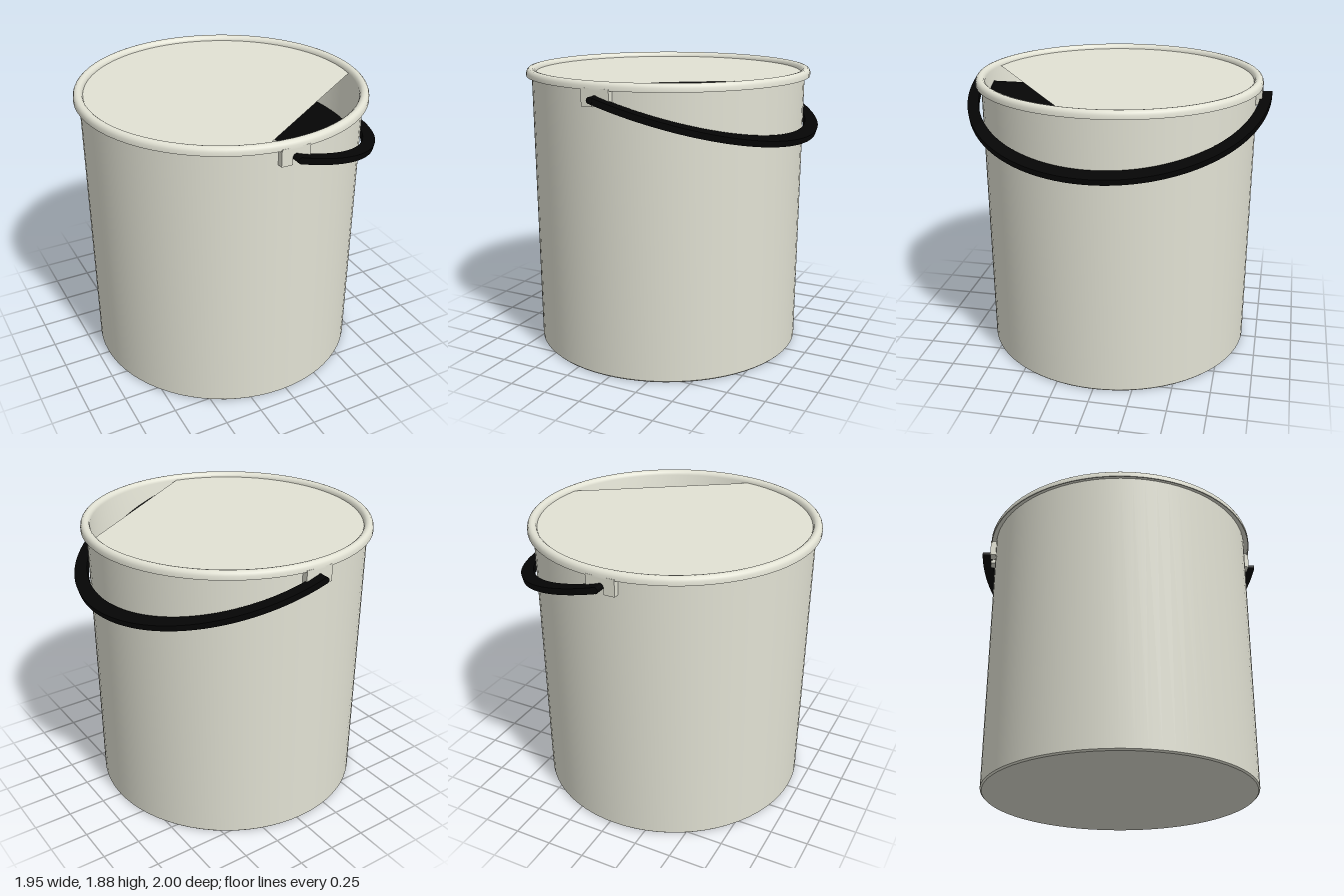
import * as THREE from 'three';
import { toCreasedNormals } from 'three/addons/utils/BufferGeometryUtils.js';

const CX = -0.033;          // bucket axis, offset so bucket and handle centre together
const PIVOT_Y = 1.778;
const TILT = -0.297;        // handle droop

export function createModel() {
  const root = new THREE.Group();
  root.name = 'bucket';
  root.position.x = CX;

  const plastic = new THREE.MeshStandardMaterial({ color: 0xe2e2d4 });
  const plasticSheet = new THREE.MeshStandardMaterial({ color: 0xe2e2d4, side: THREE.DoubleSide });
  const black = new THREE.MeshStandardMaterial({ color: 0x050505 });
  const blackSheet = new THREE.MeshStandardMaterial({ color: 0x050505, side: THREE.DoubleSide });

  const add = (parent, name, geometry, material) => {
    const mesh = new THREE.Mesh(geometry, material);
    mesh.name = name;
    parent.add(mesh);
    return mesh;
  };

  // Walls, floor and rolled rim in one turned profile
  const profile = [
    [0, 0], [0.89, 0], [0.9, 0.01], [0.906, 1.84],                      // outside wall
    [0.935, 1.84], [0.935, 1.83], [0.942, 1.83], [0.941, 1.853],        // rim skirt
    [0.935, 1.868], [0.925, 1.877], [0.912, 1.88], [0.898, 1.877],      // rounded rim
    [0.886, 1.867], [0.88, 1.85], [0.875, 0.02], [0, 0.02],             // inside
  ].map(([x, y]) => new THREE.Vector2(x, y));
  add(root, 'body', toCreasedNormals(new THREE.LatheGeometry(profile, 72), 0.75), plastic);

  // Flat cover just below the rim, cut off along a chord
  const mid = 0.967, half = 0.771;
  const coverShape = new THREE.Shape();
  coverShape.absarc(0, 0, 0.88, mid + half, mid - half + Math.PI * 2, false);
  const cover = new THREE.ShapeGeometry(coverShape, 64).rotateX(Math.PI / 2);
  add(root, 'cover', cover, plasticSheet).position.y = 1.848;

  // Slotted lugs under the rim, front and back
  const lugShape = new THREE.Shape();
  lugShape.moveTo(-0.094, 1.84);
  lugShape.lineTo(-0.094, 1.73);
  lugShape.lineTo(-0.022, 1.73);
  lugShape.lineTo(-0.022, PIVOT_Y);
  lugShape.absarc(0, PIVOT_Y, 0.022, Math.PI, 0, true);
  lugShape.lineTo(0.022, 1.73);
  lugShape.lineTo(0.094, 1.73);
  lugShape.lineTo(0.094, 1.84);
  const lugGeometry = new THREE.ExtrudeGeometry(lugShape, { depth: 0.045, bevelEnabled: false });
  lugGeometry.translate(0, 0, 0.895);

  // Handle: half hoop swung down to the left side
  const handle = new THREE.Group();
  handle.name = 'handle';
  handle.position.y = PIVOT_Y;
  handle.rotation.z = TILT;
  root.add(handle);

  const hoopShape = new THREE.Shape();
  hoopShape.absellipse(0, 0, 1.045, 1, -Math.PI / 2, Math.PI / 2, false);
  hoopShape.absellipse(0, 0, 0.955, 0.93, Math.PI / 2, -Math.PI / 2, true);
  const hoop = new THREE.ExtrudeGeometry(hoopShape, { depth: 0.04, bevelEnabled: false, curveSegments: 40 });
  hoop.translate(0, 0, -0.02).rotateX(Math.PI / 2);
  add(handle, 'hoop', toCreasedNormals(hoop, 0.6), black);

  // Thin web of the handle inside the bucket
  const webShape = new THREE.Shape();
  webShape.absellipse(0, 0, 0.9, 0.872, -Math.PI / 2, Math.PI / 2, false);
  add(handle, 'handleWeb', new THREE.ShapeGeometry(webShape, 40).rotateX(Math.PI / 2), blackSheet);

  // Mirrored lugs and hinge pins
  for (const side of [1, -1]) {
    const lug = add(root, side > 0 ? 'frontLug' : 'backLug', lugGeometry, plastic);
    if (side < 0) lug.rotation.y = Math.PI;
    const pin = new THREE.CylinderGeometry(0.021, 0.021, 0.11, 16).rotateX(Math.PI / 2);
    add(handle, side > 0 ? 'frontPin' : 'backPin', pin, black).position.z = side * 0.945;
  }

  return root;
}
